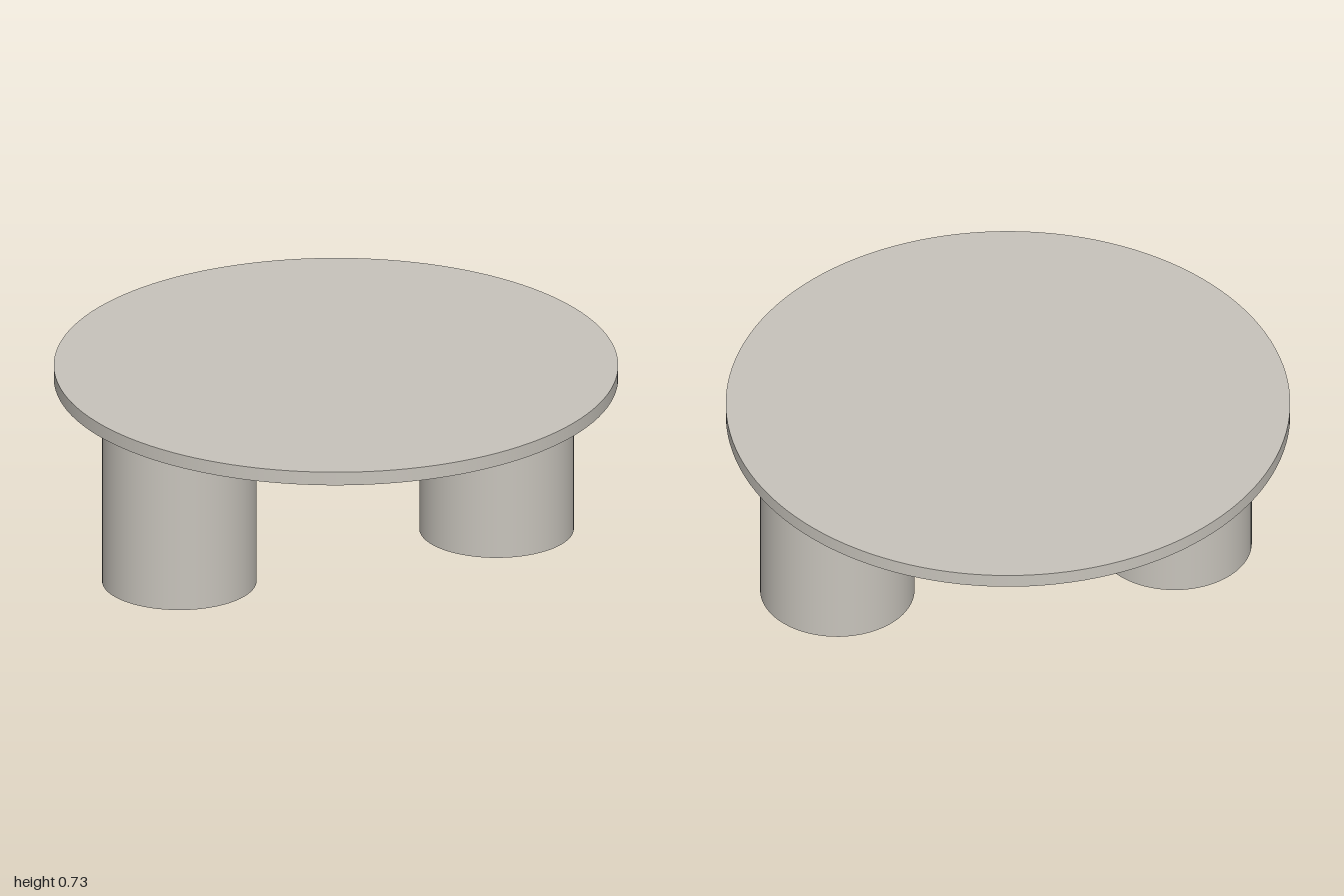
import * as THREE from 'three';

export function createModel() {
  const model = new THREE.Group();
  const stone = new THREE.MeshStandardMaterial({ color: 0xc8c4bc });
  stone.name = 'warm grey stone';

  // Upright solid cylinder between two heights
  function addCylinder(name, radius, bottom, top, x, sides) {
    const geometry = new THREE.CylinderGeometry(radius, radius, top - bottom, sides);
    const mesh = new THREE.Mesh(geometry, stone);
    mesh.name = name;
    mesh.position.set(x, (bottom + top) / 2, 0);
    model.add(mesh);
  }

  // Thin round top
  addCylinder('tableTop', 1, 0.677, 0.727, 0, 128);

  // Two drum legs, set slightly towards the model's left
  addCylinder('rightLeg', 0.274, 0, 0.677, -0.605, 64);
  addCylinder('leftLeg', 0.274, 0, 0.677, 0.62, 64);

  return model;
}
